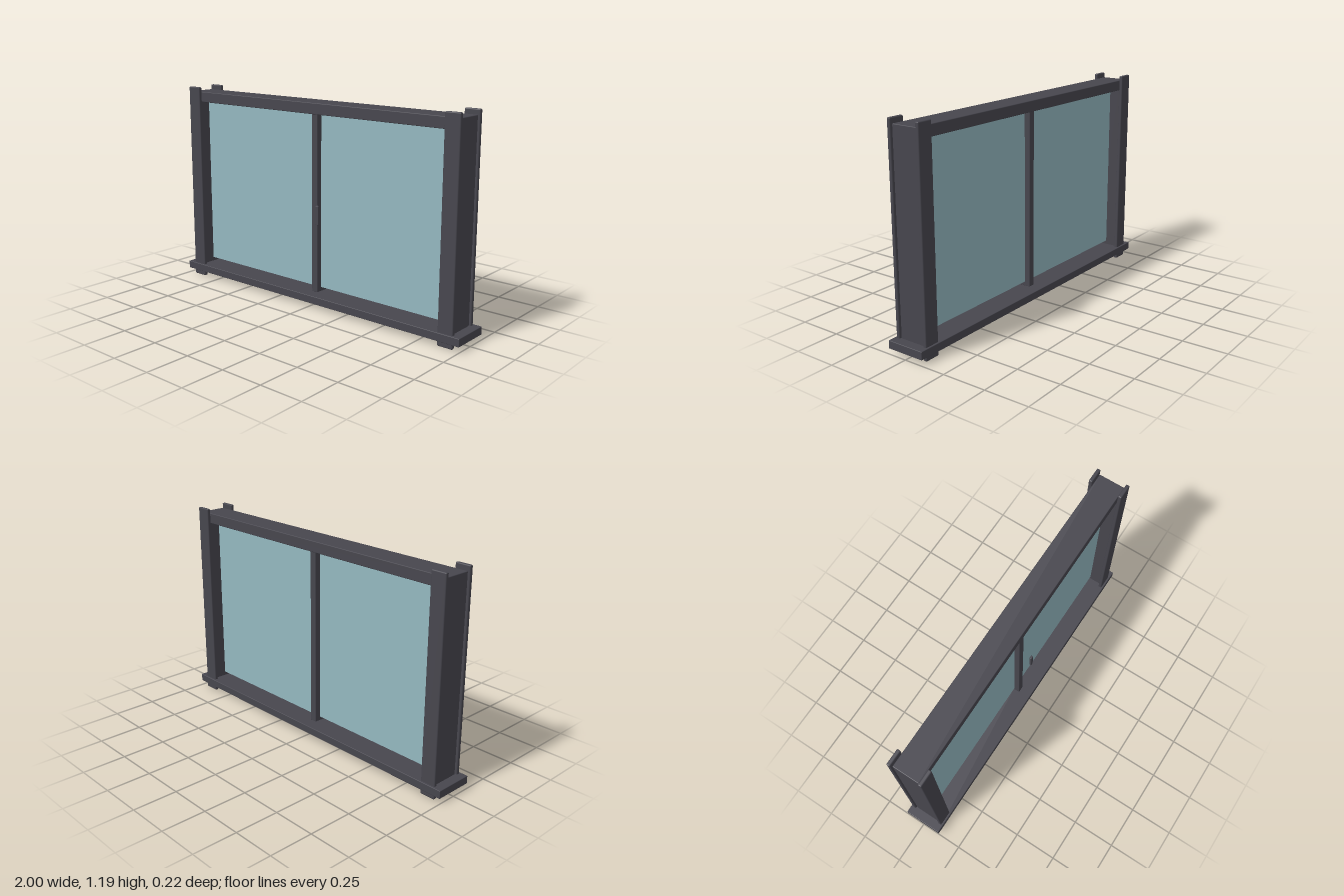
import * as THREE from 'three';
import { RoundedBoxGeometry } from 'three/addons/geometries/RoundedBoxGeometry.js';

export function createModel() {
  const model = new THREE.Group();
  model.name = 'slidingWindow';

  const frame = new THREE.MeshStandardMaterial({ color: 0x47464e });
  frame.name = 'charcoal frame';
  const glass = new THREE.MeshStandardMaterial({ color: 0x94b8c0 });
  glass.name = 'pale blue glass';

  // Adds a box given its limits on each axis; r rounds the edges
  function block(name, [x0, x1], [y0, y1], [z0, z1], material, r = 0) {
    const size = [x1 - x0, y1 - y0, z1 - z0];
    const geometry = r
      ? new RoundedBoxGeometry(...size, 2, r)
      : new THREE.BoxGeometry(...size);
    const mesh = new THREE.Mesh(geometry, material);
    mesh.name = name;
    mesh.position.set((x0 + x1) / 2, (y0 + y1) / 2, (z0 + z1) / 2);
    model.add(mesh);
  }

  // Sill and header
  block('sill', [-1, 1], [0.03, 0.075], [-0.111, 0.111], frame, 0.003);
  block('header', [-0.945, 0.945], [1.1, 1.162], [-0.076, 0.076], frame, 0.004);

  for (const side of [-1, 1]) {
    const label = side > 0 ? 'left' : 'right';
    const span = (a, b) => (side > 0 ? [a, b] : [-b, -a]);

    // Jamb and the glass pane beside the mullion
    block(label + 'Jamb', span(0.885, 0.945), [0.07, 1.16], [-0.076, 0.076], frame, 0.004);
    block(label + 'Pane', span(0.015, 0.888), [0.098, 1.105], [-0.006, 0.006], glass);

    // Casing boards on the front and back, running past the sill and header
    block(label + 'FrontCasing', span(0.865, 0.955), [0, 1.19], [0.079, 0.1], frame, 0.006);
    block(label + 'BackCasing', span(0.865, 0.955), [0, 1.19], [-0.1, -0.079], frame, 0.006);
  }

  // Centre mullion and pull handle
  block('mullion', [-0.02, 0.02], [0.074, 1.105], [-0.04, 0.04], frame, 0.003);
  block('handle', [0.041, 0.06], [0.485, 0.595], [0.068, 0.081], frame, 0.003);

  return model;
}
